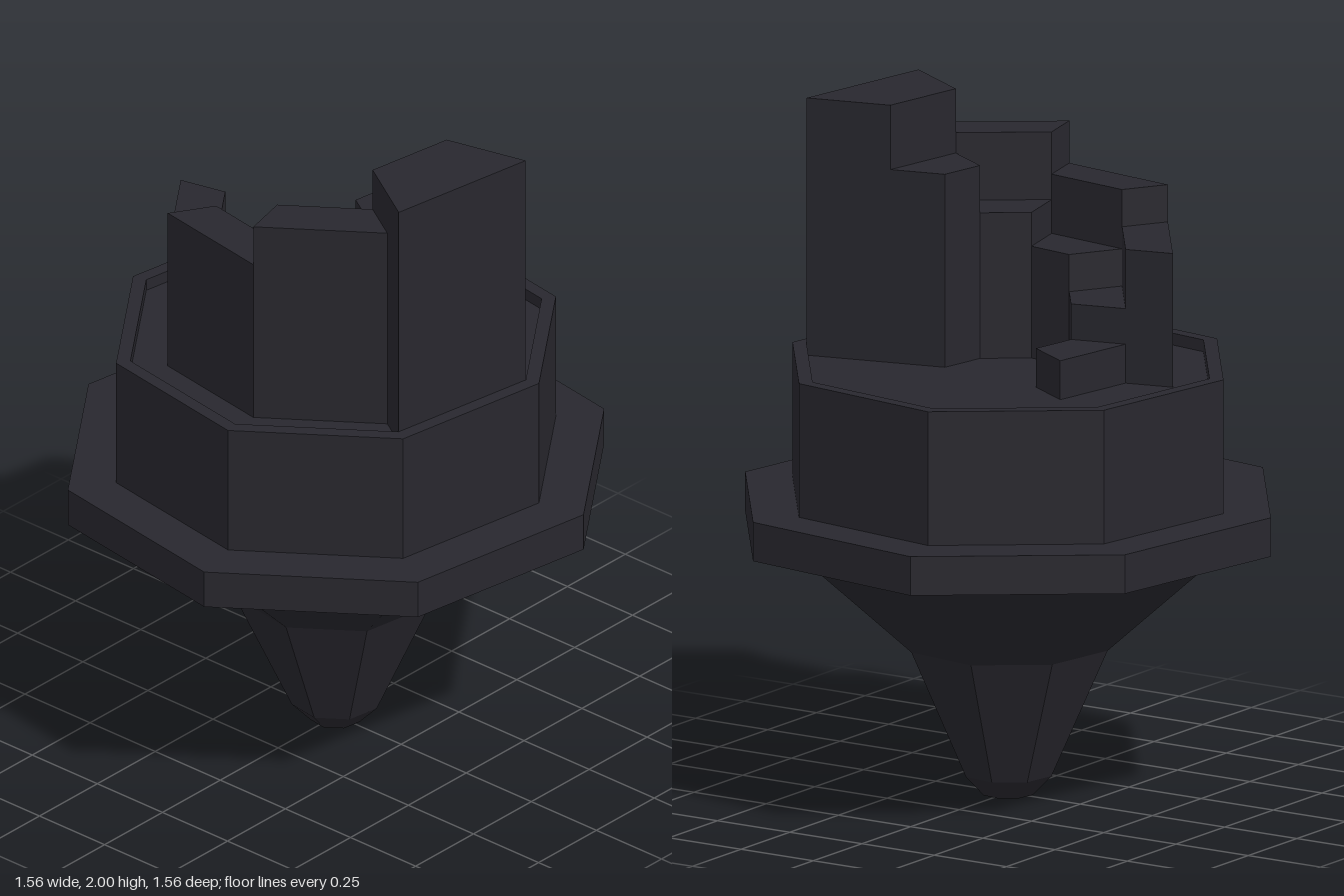
import * as THREE from 'three';

const TURN = THREE.MathUtils.degToRad(13.6); // twist shared by every octagon
const EIGHTH = Math.PI / 4;
const FLOOR = 1.24;

const material = new THREE.MeshStandardMaterial({ color: 0x28272e, flatShading: true });

// Eight-sided solid from an [radius, height] profile, listed bottom to top
function octagonal(name, profile) {
  const points = profile.map(([r, y]) => new THREE.Vector2(r, y));
  const mesh = new THREE.Mesh(new THREE.LatheGeometry(points, 8, TURN), material);
  mesh.name = name;
  return mesh;
}

// Block filling one octagon sector between two radii, standing on the floor
function sectorBlock(name, sector, inner, outer, top) {
  const a = TURN - sector * EIGHTH;
  const b = a - EIGHTH;
  const corner = (r, t) => new THREE.Vector2(r * Math.cos(t), r * Math.sin(t));
  const shape = new THREE.Shape([corner(inner, a), corner(inner, b), corner(outer, b), corner(outer, a)]);
  const geometry = new THREE.ExtrudeGeometry(shape, { depth: top - FLOOR, bevelEnabled: false });
  geometry.rotateX(-Math.PI / 2).translate(0, FLOOR, 0);
  const mesh = new THREE.Mesh(geometry, material);
  mesh.name = name;
  return mesh;
}

export function createModel() {
  const model = new THREE.Group();
  model.name = 'spiralTower';

  // Tapering underside, projecting flange, and drum with a shallow sunken floor
  model.add(
    octagonal('spike', [[0, 0], [0.077, 0], [0.133, 0.06], [0.305, 0.445], [0.66, 0.765]]),
    octagonal('flange', [[0.66, 0.765], [0.805, 0.765], [0.805, 0.88], [0.66, 0.88]]),
    octagonal('drum', [[0.66, 0.88], [0.66, 1.275], [0.617, 1.275], [0.617, FLOOR], [0, FLOOR]]),
  );

  // Inner spiral stair, descending around the centre
  const stairs = new THREE.Group();
  stairs.name = 'stairs';
  [1.81, 1.67, 1.57, 1.46, 1.355].forEach((top, i) => {
    stairs.add(sectorBlock('stairStep', i, 0.193, 0.36, top));
  });

  // Outer wall, stepping down alongside the stair; the first block is the deep tower
  const walls = new THREE.Group();
  walls.name = 'outerWall';
  [2, 1.87, 1.745, 1.635].forEach((top, i) => {
    walls.add(sectorBlock(i ? 'wallBlock' : 'tallTower', i, 0.36, i ? 0.505 : 0.617, top));
  });

  model.add(stairs, walls);
  return model;
}
